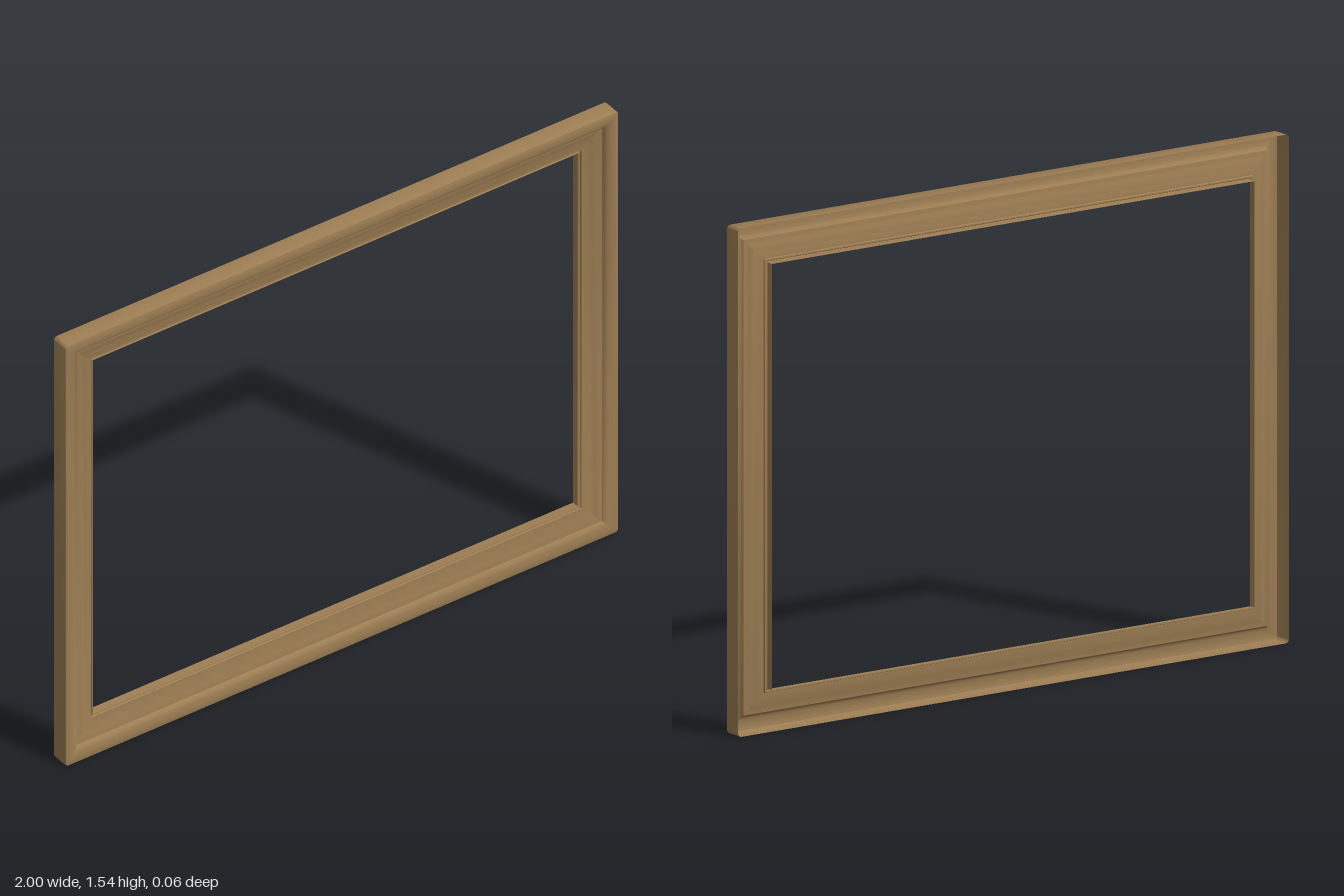
import * as THREE from 'three';
import { toCreasedNormals } from 'three/addons/utils/BufferGeometryUtils.js';

const W = 1, H = 0.77; // half width and half height

// Moulding section: [distance in from the outer edge, z]
const SECTION = [
  [0, -0.03], [0, 0.025], [0.002, 0.029], [0.006, 0.03],
  [0.022, 0.03], [0.034, 0.028], [0.042, 0.024], [0.047, 0.018], [0.05, 0.013],
  [0.056, 0.012], [0.07, 0.008], [0.085, 0.003], [0.1, 0], [0.113, -0.002],
  [0.115, -0.007], [0.119, -0.007], [0.121, -0.004], [0.124, -0.006], [0.125, -0.028],
];

// Rectangular loop, counter-clockwise, with slightly rounded outer corners
function loop(d, z) {
  const r = Math.max(0.0006, 0.012 - d), steps = 3, pts = [];
  const corners = [[1, -1], [1, 1], [-1, 1], [-1, -1]];
  corners.forEach(([sx, sy], k) => {
    for (let i = 0; i <= steps; i++) {
      const a = (k - 1 + i / steps) * Math.PI / 2;
      pts.push([sx * (W - d - r) + r * Math.cos(a), H + sy * (H - d - r) + r * Math.sin(a), z]);
    }
  });
  return pts;
}

// Skin the loops into one continuous moulding, open at the back
function mouldingGeometry() {
  const rings = SECTION.map(([d, z]) => loop(d, z));
  const n = rings[0].length, pos = [];
  for (let i = 0; i < rings.length - 1; i++) {
    for (let j = 0; j < n; j++) {
      const k = (j + 1) % n;
      const a = rings[i][j], b = rings[i][k], c = rings[i + 1][k], d = rings[i + 1][j];
      pos.push(...a, ...b, ...c, ...a, ...c, ...d);
    }
  }
  const g = new THREE.BufferGeometry();
  g.setAttribute('position', new THREE.Float32BufferAttribute(pos, 3));
  return toCreasedNormals(g, 0.6);
}

export function createModel() {
  const wood = new THREE.MeshStandardMaterial({ color: 0x9c7d53, side: THREE.DoubleSide });
  wood.name = 'wood';
  const moulding = new THREE.Mesh(mouldingGeometry(), wood);
  moulding.name = 'frameMoulding';
  const group = new THREE.Group();
  group.name = 'pictureFrame';
  group.add(moulding);
  return group;
}
